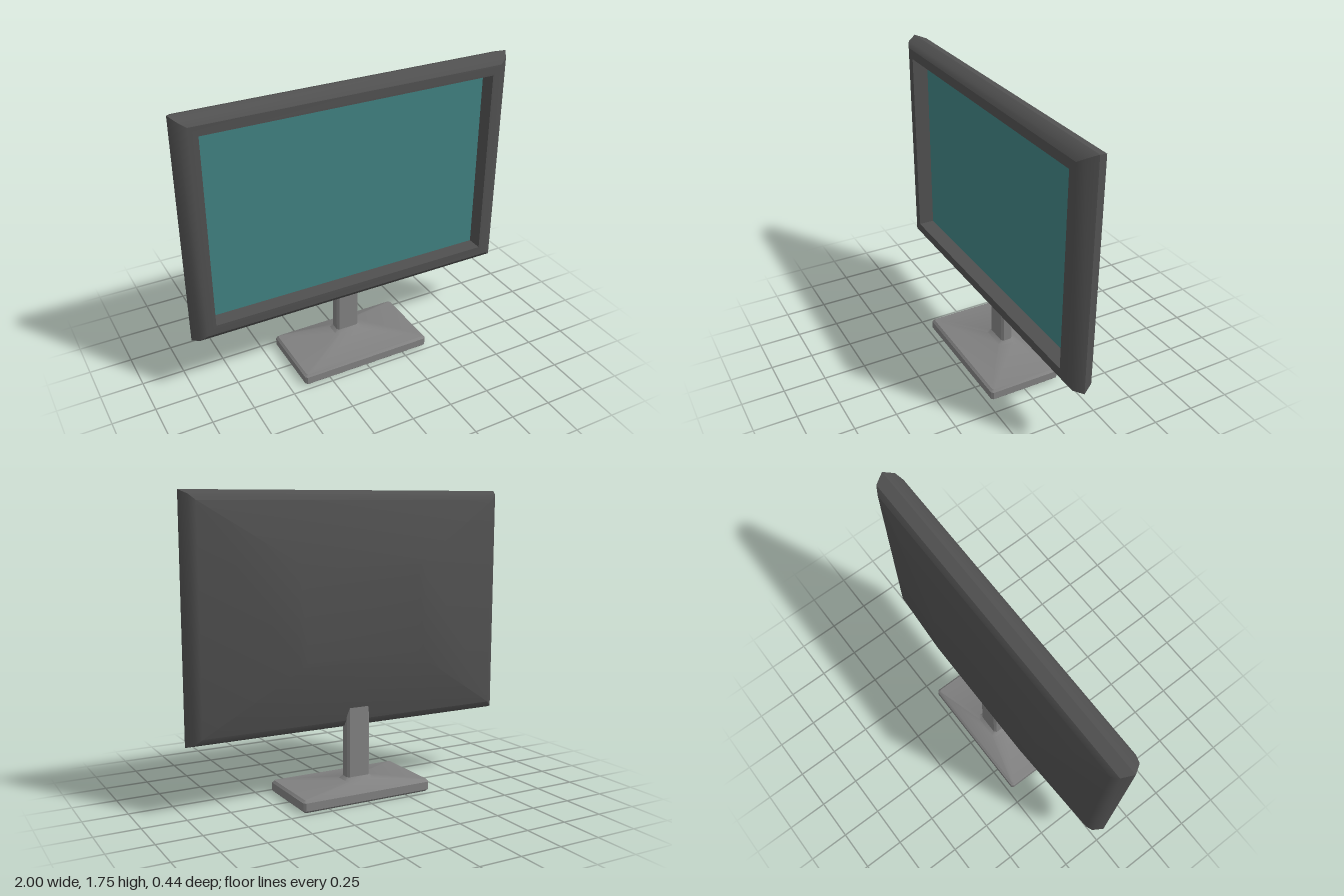
import * as THREE from 'three';
import { toCreasedNormals } from 'three/addons/utils/BufferGeometryUtils.js';

// Rectangle outline with cut corners, counter-clockwise seen from +y
function outline([hx, hz, y, cut = 0, oz = 0]) {
  const pts = [];
  for (const [sx, sz] of [[1, 1], [1, -1], [-1, -1], [-1, 1]]) {
    const alongX = [sx * (hx - cut), y, oz + sz * hz];
    const alongZ = [sx * hx, y, oz + sz * (hz - cut)];
    if (!cut) pts.push(alongX);
    else if (sx === sz) pts.push(alongX, alongZ);
    else pts.push(alongZ, alongX);
  }
  return pts;
}

// Skin over a stack of outlines, from low y to high y
function loft(sections, capEnd = true) {
  const rings = sections.map(outline);
  const n = rings[0].length;
  const pos = [];
  const tri = (...corners) => corners.forEach((p) => pos.push(...p));
  for (let r = 0; r < rings.length - 1; r++) {
    const lo = rings[r], hi = rings[r + 1];
    for (let i = 0; i < n; i++) {
      const j = (i + 1) % n;
      tri(lo[i], lo[j], hi[j]);
      tri(lo[i], hi[j], hi[i]);
    }
  }
  const first = rings[0], last = rings[rings.length - 1];
  for (let i = 1; i < n - 1; i++) {
    tri(first[0], first[i + 1], first[i]);
    if (capEnd) tri(last[0], last[i], last[i + 1]);
  }
  const geo = new THREE.BufferGeometry();
  geo.setAttribute('position', new THREE.Float32BufferAttribute(pos, 3));
  return toCreasedNormals(geo, 0.6);
}

export function createModel() {
  const group = new THREE.Group();
  const add = (name, geo, color) => {
    const mesh = new THREE.Mesh(geo, new THREE.MeshStandardMaterial({ color }));
    mesh.name = name;
    group.add(mesh);
    return mesh;
  };
  const centreY = 1.075;

  // Housing: tapered back, bevelled rim, front bezel, then the recess walls
  const housing = loft([
    [0.35, 0.245, -0.175],
    [0.4, 0.29, -0.168],
    [0.93, 0.62, -0.084],
    [0.967, 0.653, -0.062],
    [1, 0.675, 0],
    [0.967, 0.653, 0.055],
    [0.925, 0.625, 0.075],
    [0.873, 0.569, 0.075],
    [0.873, 0.569, -0.02],
  ], false);
  housing.rotateX(Math.PI / 2);
  add('housing', housing, 0x505050).position.y = centreY;

  // Screen at the bottom of the recess
  add('screen', new THREE.PlaneGeometry(1.746, 1.138), 0x408080).position.set(0, centreY, -0.02);

  // Stand: bevelled foot sloping up to a collar and an off-centre column
  add('stand', loft([
    [0.398, 0.21, 0, 0.01],
    [0.41, 0.222, 0.012, 0.012],
    [0.41, 0.222, 0.058, 0.012],
    [0.398, 0.21, 0.072, 0.01],
    [0.09, 0.058, 0.105, 0.02, -0.066],
    [0.073, 0.037, 0.122, 0.013, -0.066],
    [0.073, 0.037, 0.56, 0.013, -0.066],
  ]), 0x808080);

  return group;
}
